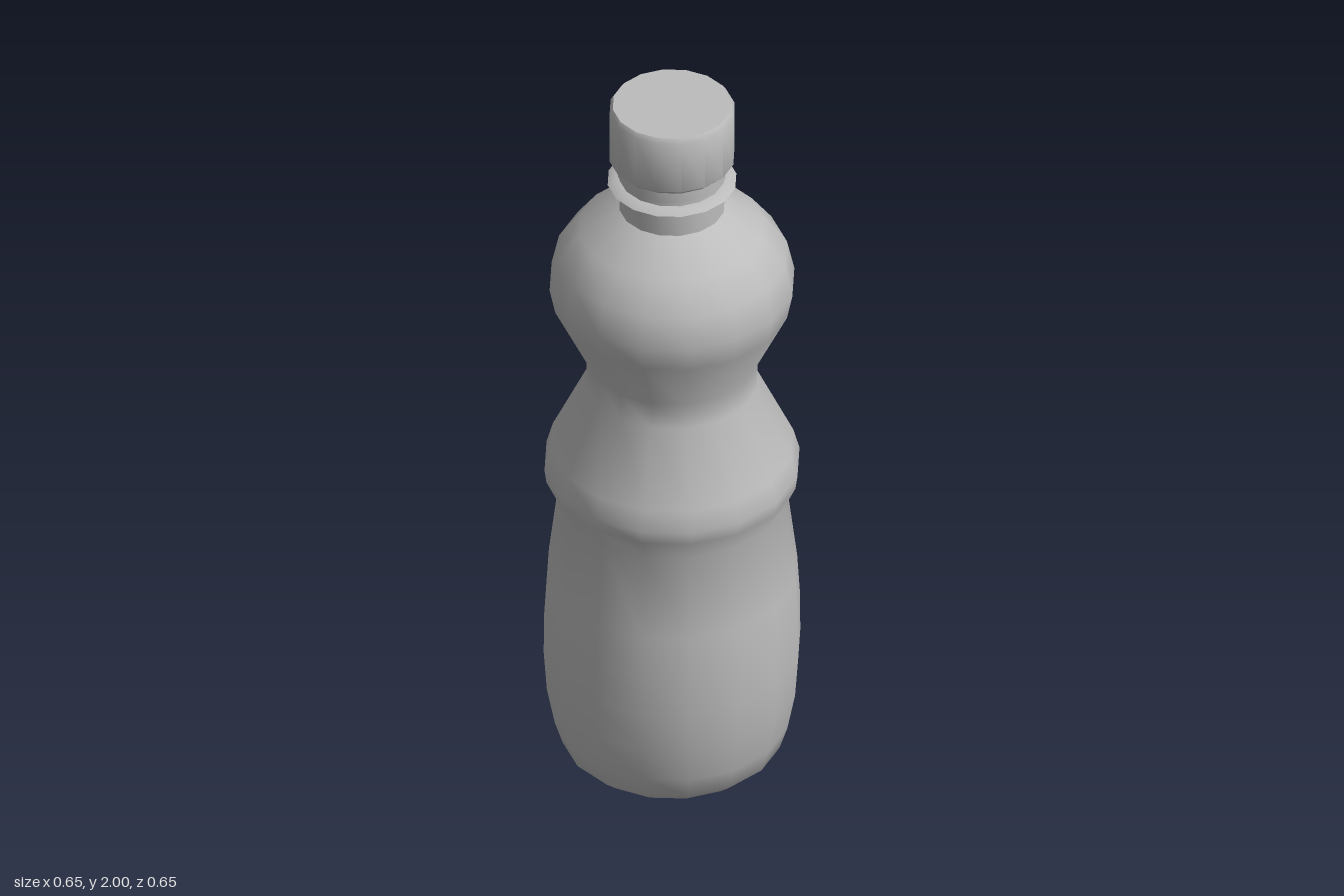
import * as THREE from 'three';
import { toCreasedNormals } from 'three/addons/utils/BufferGeometryUtils.js';

const SIDES = 16;

export function createModel() {
  const model = new THREE.Group();
  model.name = 'bottle';
  const plastic = new THREE.MeshStandardMaterial({ color: 0xbcbcbc });
  plastic.name = 'grey plastic';

  // Turn a [radius, height] profile, listed bottom to top on the outside
  const turn = (name, profile) => {
    const points = profile.map(([r, y]) => new THREE.Vector2(r, y));
    const geometry = toCreasedNormals(new THREE.LatheGeometry(points, SIDES), 0.8);
    const mesh = new THREE.Mesh(geometry, plastic);
    mesh.name = name;
    model.add(mesh);
  };

  // Base, bulging lower body, grip waist, rounded shoulder and neck
  turn('body', [
    [0, 0], [0.16, 0.004], [0.235, 0.025], [0.277, 0.062], [0.297, 0.125],
    [0.317, 0.23], [0.325, 0.345], [0.324, 0.46], [0.317, 0.575], [0.289, 0.805],
    [0.318, 0.868], [0.323, 0.905], [0.307, 0.963], [0.217, 1.153],
    [0.217, 1.227], [0.296, 1.39], [0.31, 1.46], [0.291, 1.545],
    [0.234, 1.622], [0.133, 1.688], [0.133, 1.84], [0, 1.84],
  ]);

  // Thin collar around the neck
  turn('neckRing', [
    [0.128, 1.757], [0.147, 1.759], [0.163, 1.768], [0.147, 1.778], [0.128, 1.78],
  ]);

  // Tamper band just under the cap
  turn('tamperBand', [
    [0.128, 1.792], [0.137, 1.792], [0.137, 1.83], [0.128, 1.83],
  ]);

  // Screw cap with bevelled rims
  turn('cap', [
    [0, 1.828], [0.146, 1.828], [0.158, 1.84], [0.158, 1.988], [0.15, 2], [0, 2],
  ]);

  return model;
}
